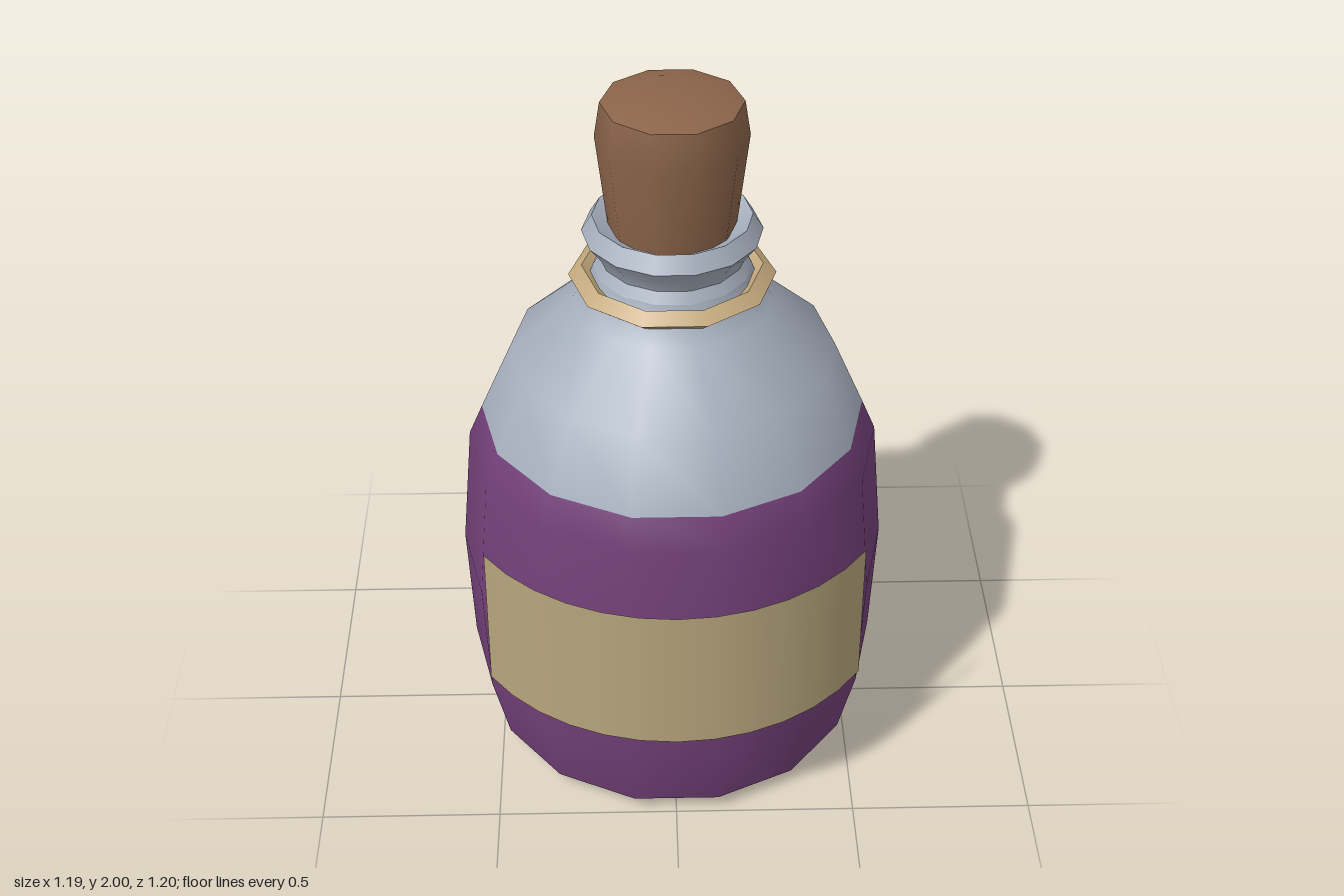
import * as THREE from 'three';
import { mergeGeometries } from 'three/addons/utils/BufferGeometryUtils.js';

const paint = (name, color) => {
  const m = new THREE.MeshStandardMaterial({ color });
  m.name = name;
  return m;
};

// Turned part: each profile is [radius, y] from bottom to top, with sharp edges between profiles
function turned(name, sides, material, ...profiles) {
  const parts = profiles.map((profile) =>
    new THREE.LatheGeometry(profile.map(([r, y]) => new THREE.Vector2(r, y)), sides, Math.PI / 2));
  const mesh = new THREE.Mesh(mergeGeometries(parts), material);
  mesh.name = name;
  return mesh;
}

export function createModel() {
  const glass = paint('pale glass', 0xa5aebc);
  const liquid = paint('purple liquid', 0x734079);
  const cord = paint('tan cord', 0xc3a87c);
  const paper = paint('parchment', 0xb7a57c);
  const wood = paint('cork brown', 0x8b644a);
  glass.side = paper.side = THREE.DoubleSide;

  const model = new THREE.Group();
  model.name = 'potionBottle';

  // Filled lower body with a shallow bevelled base
  model.add(turned('liquidBody', 14, liquid,
    [[0, 0], [0.405, 0], [0.53, 0.05]],
    [[0.53, 0.05], [0.578, 0.25], [0.593, 0.6], [0.561, 0.96], [0.523, 1.05]]));

  // Clear shoulder, neck and flared lip
  model.add(turned('glassShoulder', 14, glass,
    [[0.523, 1.05], [0.44, 1.24], [0.265, 1.4], [0.225, 1.455], [0.21, 1.5]],
    [[0.21, 1.5], [0.192, 1.53]],
    [[0.192, 1.53], [0.205, 1.56], [0.238, 1.605]],
    [[0.238, 1.605], [0.21, 1.65]],
    [[0.21, 1.65], [0.16, 1.62]]));

  // Diamond-section ring around the neck
  const ring = [[0.24, 1.443], [0.275, 1.47], [0.24, 1.498], [0.205, 1.47]];
  model.add(turned('neckRing', 10, cord,
    ...ring.map((p, i) => [p, ring[(i + 1) % ring.length]])));

  // Tapered cork with a slightly domed top
  model.add(turned('cork', 10, wood,
    [[0.165, 1.6], [0.172, 1.65], [0.199, 1.88], [0.184, 1.975]],
    [[0.184, 1.975], [0.1, 2], [0, 2]]));

  // Curved paper label standing just off the front
  const half = 0.98;
  const label = new THREE.Mesh(
    new THREE.CylinderGeometry(0.62, 0.62, 0.435, 12, 1, true, -half, half * 2), paper);
  label.name = 'label';
  label.position.y = 0.5825;
  model.add(label);

  // The label sticks out, so the bottle sits slightly behind centre
  model.children.forEach((part) => { part.position.z = -0.02; });
  return model;
}
